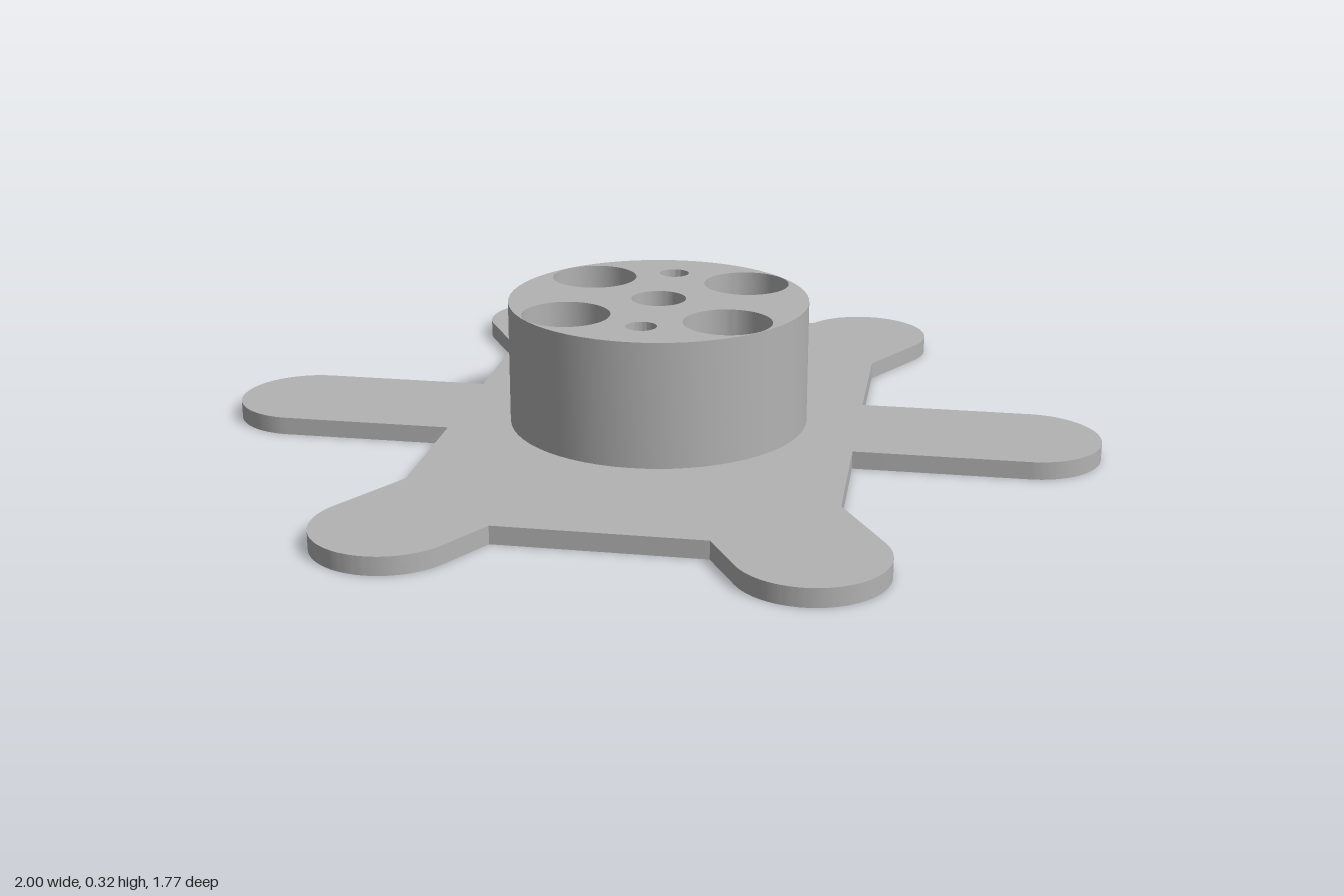
import * as THREE from 'three';
import { toCreasedNormals } from 'three/addons/utils/BufferGeometryUtils.js';

const PLATE = 0.04;      // plate thickness
const TOP = 0.322;       // top of the hub
const ARM_R = 0.158;     // half width of an arm
const ARM_LEN = 0.842;   // centre to centre of the rounded tip

function addHole(shape, x, z, r) {
  const hole = new THREE.Path();
  hole.absarc(x, z, r, 0, Math.PI * 2, true);
  shape.holes.push(hole);
}

// Centre bore and two screw holes run through both parts
function addThroughHoles(shape) {
  addHole(shape, 0, 0, 0.062);
  for (const s of [1, -1]) addHole(shape, s * 0.192, s * -0.111, 0.034);
}

// Extrude an (x, z) outline upward between two heights
function slab(shape, y0, y1, name, material) {
  const geo = new THREE.ExtrudeGeometry(shape, { depth: y1 - y0, bevelEnabled: false, curveSegments: 32 });
  geo.rotateX(Math.PI / 2);
  geo.translate(0, y1, 0);
  const mesh = new THREE.Mesh(toCreasedNormals(geo, 0.5), material);
  mesh.name = name;
  return mesh;
}

export function createModel() {
  const group = new THREE.Group();
  group.name = 'mountingHub';
  const grey = new THREE.MeshStandardMaterial({ color: 0xb3b3b3 });
  grey.name = 'grey';

  // Base plate: a turned rectangle with six round-ended arms.
  // Each pair tells how far out the two sides of an arm leave the rectangle.
  const roots = [[0.717, 0.645], [0.458, 0.458], [0.645, 0.717]];
  const outline = new THREE.Shape();
  for (let i = 0; i < 6; i++) {
    const a = i * Math.PI / 3, c = Math.cos(a), s = Math.sin(a);
    const [start, end] = roots[i % 3];
    const at = (t, w) => [t * c - w * s, t * s + w * c];
    if (i === 0) outline.moveTo(...at(start, -ARM_R));
    else outline.lineTo(...at(start, -ARM_R));
    outline.absarc(ARM_LEN * c, ARM_LEN * s, ARM_R, a - Math.PI / 2, a + Math.PI / 2, false);
    outline.lineTo(...at(end, ARM_R));
  }
  outline.closePath();
  addThroughHoles(outline);
  group.add(slab(outline, 0, PLATE, 'basePlate', grey));

  // Hub with four large pockets that reach down to the plate
  const disc = new THREE.Shape();
  disc.absarc(0, 0, 0.34, 0, Math.PI * 2, false);
  addThroughHoles(disc);
  for (const deg of [18.5, 101.5, 198.5, 281.5]) {
    const a = THREE.MathUtils.degToRad(deg);
    addHole(disc, 0.24 * Math.cos(a), 0.24 * Math.sin(a), 0.098);
  }
  group.add(slab(disc, PLATE, TOP, 'hub', grey));

  return group;
}
